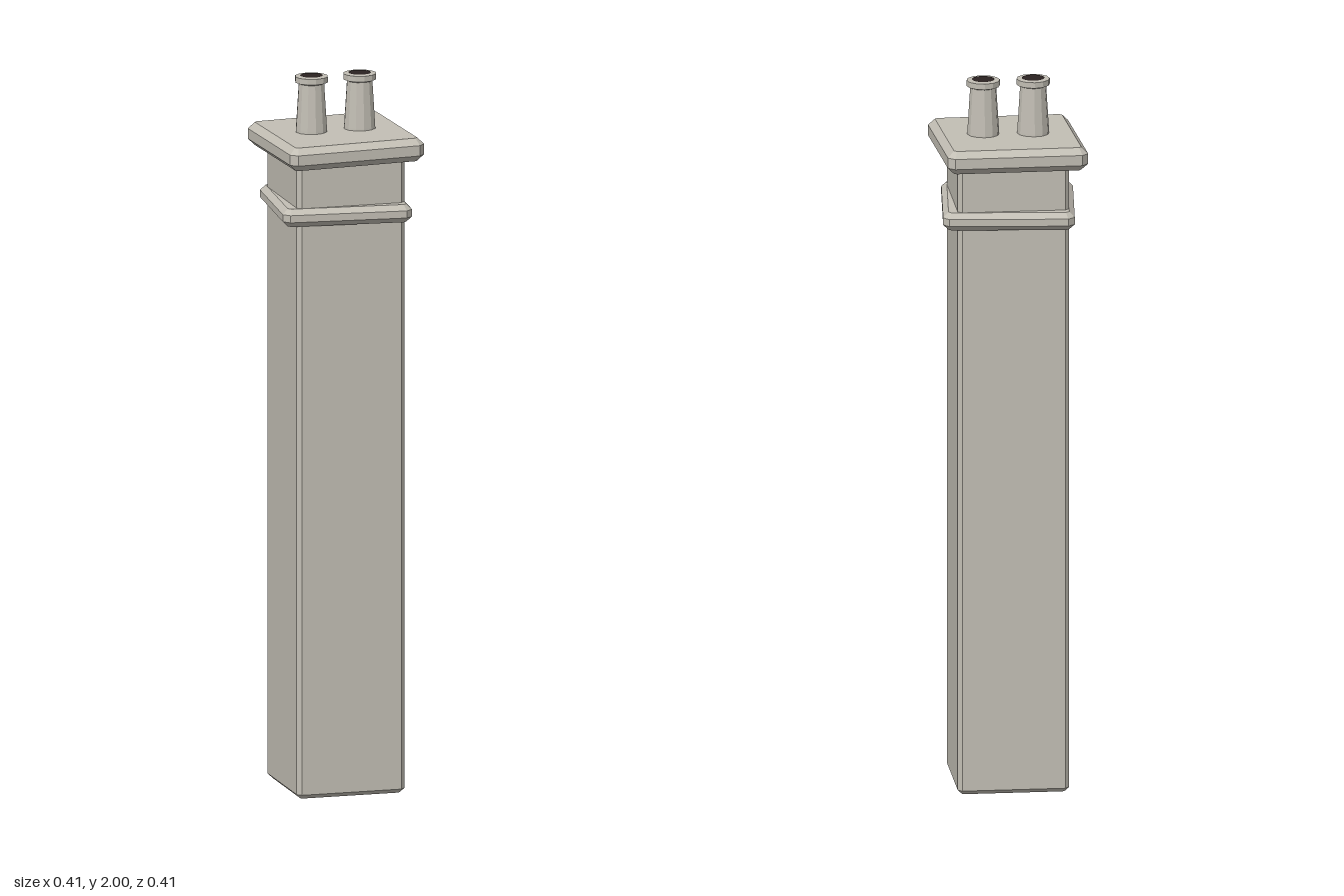
import * as THREE from 'three';

// Square block with cut corners and bevelled top and bottom, from y0 to y1
function bevelledBlock(half, y0, y1, cut, bevel) {
  const c = half - cut;
  const shape = new THREE.Shape([
    [half, -c], [half, c], [c, half], [-c, half],
    [-half, c], [-half, -c], [-c, -half], [c, -half],
  ].map(([x, y]) => new THREE.Vector2(x, y)));
  const h = y1 - y0;
  const geo = new THREE.ExtrudeGeometry(shape, {
    depth: h - 2 * bevel, bevelEnabled: true, bevelSegments: 1,
    bevelSize: bevel, bevelThickness: bevel, bevelOffset: -bevel,
  });
  geo.translate(0, 0, bevel - h / 2); // centre on its own height
  geo.rotateX(-Math.PI / 2);
  return geo;
}

export function createModel() {
  const stone = new THREE.MeshStandardMaterial({ color: 0xc3bfb5 });
  stone.name = 'stone';
  stone.flatShading = true;
  const soot = new THREE.MeshStandardMaterial({ color: 0x2b2221 });
  soot.name = 'soot';

  const model = new THREE.Group();
  model.name = 'chimney';
  const add = (name, geo, material, x, y, z) => {
    const mesh = new THREE.Mesh(geo, material);
    mesh.name = name;
    mesh.position.set(x, y, z);
    model.add(mesh);
    return mesh;
  };

  // Tall shaft
  add('shaft', bevelledBlock(0.154, 0, 1.81, 0.012, 0.012), stone, 0, 0.905, 0);

  // Thin band, turned slightly on the shaft
  const band = add('band', bevelledBlock(0.181, 1.612, 1.662, 0.018, 0.015), stone, 0, 1.637, 0);
  band.rotation.y = -0.09;

  // Heavy cap slab, turned the other way and a touch crooked
  const cap = add('cap', bevelledBlock(0.195, 1.78, 1.845, 0.018, 0.018), stone, 0, 1.811, 0);
  cap.rotation.set(0.006, 0.05, 0.01);

  // Two tapering pots with rims and dark mouths
  const profile = [[0.045, 1.82], [0.044, 1.85], [0.036, 1.978], [0.046, 1.982], [0.046, 1.998], [0, 1.998]]
    .map(([r, y]) => new THREE.Vector2(r, y));
  for (const side of [-1, 1]) {
    const label = side < 0 ? 'right' : 'left';
    add(label + 'Pot', new THREE.LatheGeometry(profile, 12), stone, side * 0.069, 0, -0.004);
    const mouth = new THREE.CircleGeometry(0.031, 24);
    mouth.rotateX(-Math.PI / 2);
    add(label + 'PotMouth', mouth, soot, side * 0.069, 2, -0.004);
  }
  return model;
}
